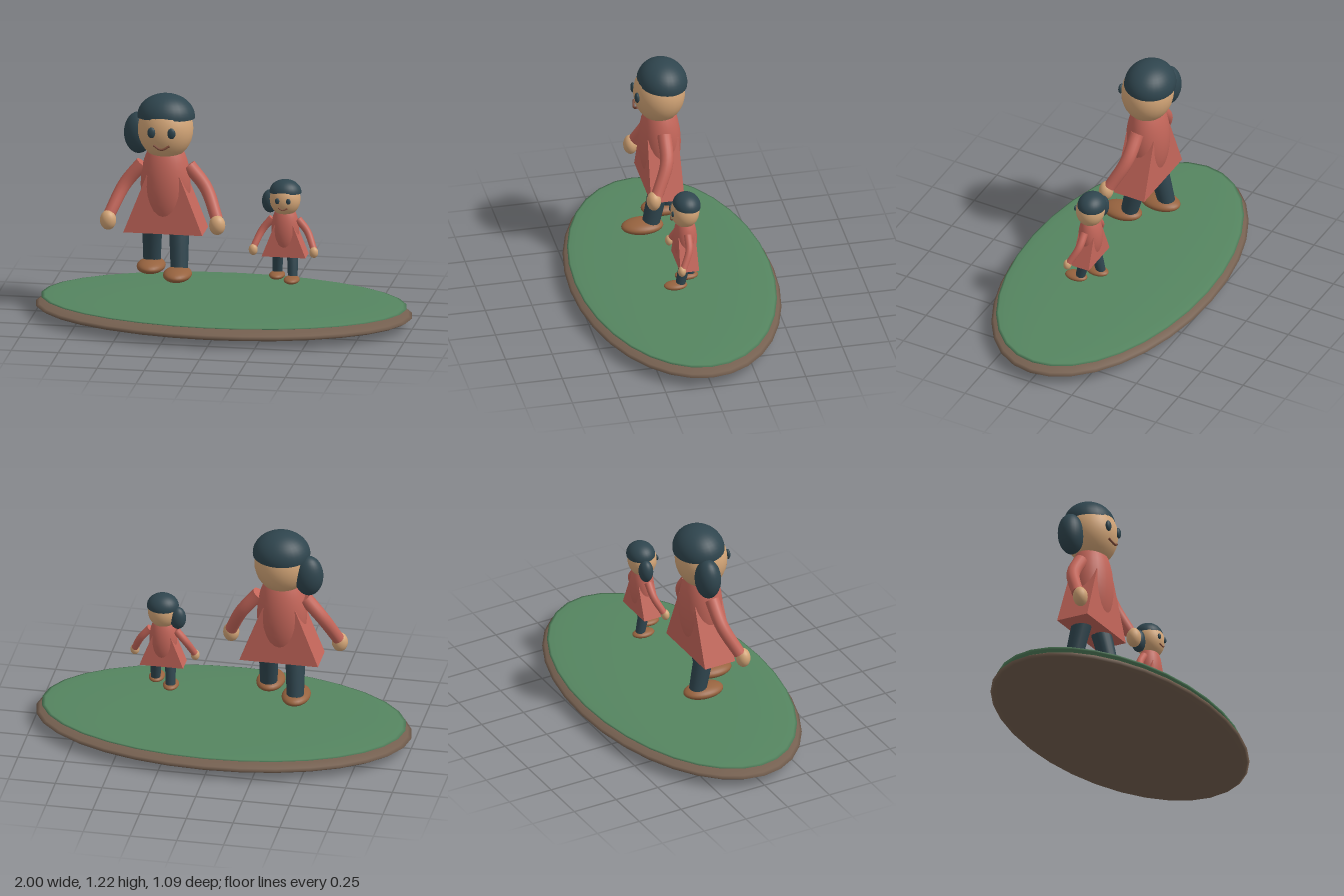
import * as THREE from 'three';
import { mergeGeometries } from 'three/addons/utils/BufferGeometryUtils.js';

const V = (x, y, z) => new THREE.Vector3(x, y, z);
const paint = (name, color, side = THREE.FrontSide) => {
  const m = new THREE.MeshStandardMaterial({ color, side });
  m.name = name;
  return m;
};

function add(parent, name, geometry, material) {
  const mesh = new THREE.Mesh(geometry, material);
  mesh.name = name;
  parent.add(mesh);
  return mesh;
}

// Ellipsoid given by centre and radii
function ellipsoid(parent, name, material, [x, y, z], [rx, ry, rz], w = 28, h = 18) {
  const mesh = add(parent, name, new THREE.SphereGeometry(1, w, h), material);
  mesh.position.set(x, y, z);
  mesh.scale.set(rx, ry, rz);
  return mesh;
}

// Capped limb along a curve, its radius going from r0 to r1
function limb(points, r0, r1, steps = 12, sides = 16) {
  const curve = new THREE.CatmullRomCurve3(points);
  const tube = new THREE.TubeGeometry(curve, steps, 1, sides);
  const p = tube.attributes.position, v = V(0, 0, 0);
  for (let i = 0; i < p.count; i++) {
    const t = Math.floor(i / (sides + 1)) / steps;
    const c = curve.getPointAt(t);
    v.fromBufferAttribute(p, i).sub(c).multiplyScalar(r0 + (r1 - r0) * t).add(c);
    p.setXYZ(i, v.x, v.y, v.z);
  }
  const cap = (t, r, dir) => {
    const q = new THREE.Quaternion().setFromUnitVectors(V(0, 0, 1), curve.getTangentAt(t).multiplyScalar(dir));
    const c = curve.getPointAt(t);
    return new THREE.CircleGeometry(r, sides).applyQuaternion(q).translate(c.x, c.y, c.z);
  };
  return mergeGeometries([tube, cap(0, r0, -1), cap(1, r1, 1)]);
}

// Box narrowed towards its top
function flaredBox(bottomX, bottomZ, topX, topZ, y0, y1) {
  const box = new THREE.BoxGeometry(2, 1, 2).toNonIndexed();
  const p = box.attributes.position;
  for (let i = 0; i < p.count; i++) {
    const top = p.getY(i) > 0;
    p.setXYZ(i, p.getX(i) * (top ? topX : bottomX), top ? y1 : y0, p.getZ(i) * (top ? topZ : bottomZ));
  }
  box.computeVertexNormals();
  return box;
}

// Walking figure; feet rest at y = 0
function createFigure(name, mat) {
  const figure = new THREE.Group();
  figure.name = name;
  const body = new THREE.Group();
  body.name = 'body';
  body.position.y = -0.235;
  figure.add(body);

  // Dress
  ellipsoid(body, 'torso', mat.dress, [0, 0.73, 0], [0.132, 0.26, 0.111]);
  add(body, 'skirt', flaredBox(0.21, 0.09, 0.088, 0.082, 0.478, 0.79), mat.dress);

  // Head and hair
  ellipsoid(body, 'head', mat.skin, [0, 1.03, 0.002], [0.146, 0.163, 0.136]);
  const cap = add(body, 'hairCap',
    new THREE.SphereGeometry(1, 28, 12, 0, Math.PI * 2, 0, Math.PI * 0.52), mat.hair);
  cap.position.set(0, 1.094, -0.013);
  cap.scale.set(0.152, 0.121, 0.133);
  cap.rotation.x = -0.1;
  ellipsoid(body, 'sideBun', mat.hair, [-0.15, 0.99, -0.04], [0.078, 0.112, 0.067]);

  // Smile
  add(body, 'mouth',
    limb([V(-0.042, 0.971, 0.128), V(0, 0.952, 0.138), V(0.042, 0.971, 0.128)], 0.006, 0.006, 10, 8), mat.mouth);

  for (const s of [-1, 1]) {
    const side = s > 0 ? 'left' : 'right';
    ellipsoid(body, side + 'Eye', mat.hair, [s * 0.053, 1.04, 0.131], [0.022, 0.029, 0.013], 16, 10);

    // Arm and hand
    add(body, side + 'Arm',
      limb([V(s * 0.122, 0.835, 0), V(s * 0.215, 0.72, 0.008), V(s * 0.286, 0.57, 0.075)], 0.038, 0.032), mat.dress);
    ellipsoid(body, side + 'Hand', mat.skin, [s * 0.29, 0.543, 0.093], [0.043, 0.053, 0.038], 20, 12);

    // Striding leg and shoe, the left one forward
    add(body, side + 'Leg',
      limb([V(s * 0.07, 0.56, 0), V(s * 0.078, 0.42, s * 0.035), V(s * 0.084, 0.28, s * 0.066)], 0.056, 0.046), mat.hair);
    ellipsoid(body, side + 'Shoe', mat.shoe, [s * 0.082, 0.27, s * 0.07 + 0.04], [0.075, 0.036, 0.112]);
  }
  return figure;
}

export function createModel() {
  const model = new THREE.Group();
  model.name = 'walkingPair';
  const mat = {
    hair: paint('darkTeal', 0x2f454e, THREE.DoubleSide),
    dress: paint('coralRed', 0xc4665a),
    skin: paint('tanSkin', 0xd3a577),
    shoe: paint('shoeBrown', 0x97633f),
    mouth: paint('mouthBrown', 0x7c4a38),
    grass: paint('grassGreen', 0x558560),
    soil: paint('soilBrown', 0x756050),
  };

  // Oval island
  ellipsoid(model, 'soilBase', mat.soil, [0, 0.058, 0], [1, 0.058, 0.545], 32, 16);
  ellipsoid(model, 'grassTop', mat.grass, [0, 0.105, 0], [0.97, 0.019, 0.522], 32, 16);

  // Adult and child share one build at two sizes
  const adult = createFigure('adult', mat);
  adult.position.set(-0.31, 0.235, 0);
  const child = createFigure('child', mat);
  child.position.set(0.325, 0.237, 0);
  child.scale.setScalar(0.555);
  model.add(adult, child);
  return model;
}
